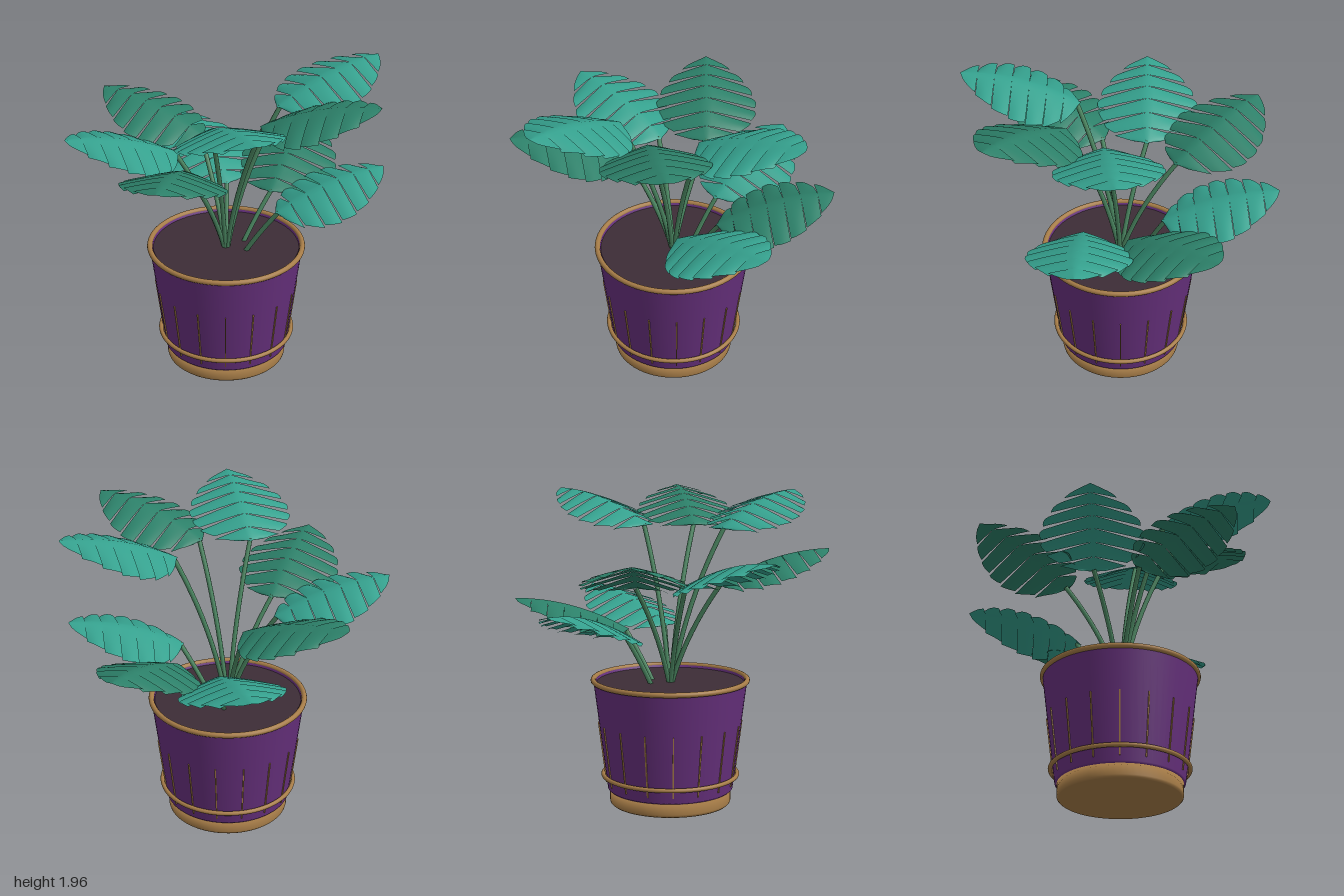
import * as THREE from 'three';

const mat = (color, side = THREE.FrontSide) =>
  new THREE.MeshStandardMaterial({ color, side });

const purple = mat(0x66307c, THREE.DoubleSide);
const tan = mat(0xa67c47);
const soilMat = mat(0x3d2d36);
const stemMat = mat(0x4a8560);
const brightLeaf = mat(0x35a18e, THREE.DoubleSide);
const deepLeaf = mat(0x2c8069, THREE.DoubleSide);

const LENGTH = 0.73, RISE = 0.21, LOBES = 7;

function add(parent, name, geometry, material) {
  const mesh = new THREE.Mesh(geometry, material);
  mesh.name = name;
  parent.add(mesh);
  return mesh;
}

// Pleated leaf along +x: a rising midrib, drooping sides and lobes that step like shingles.
function leafGeometry() {
  const rows = 6, cols = 16;
  const pos = [], index = [];
  for (let lobe = 0; lobe < LOBES; lobe++) {
    const start = pos.length / 3;
    for (let i = 0; i <= rows; i++) {
      const p = i / rows;
      const t = (lobe + p) / LOBES;
      const half = 0.325 * Math.pow(Math.max(0, Math.sin(Math.PI * Math.pow(t, 0.85))), 0.7)
        * (0.93 + 0.07 * Math.sin(Math.PI * (0.15 + 0.75 * p)));
      const rib = RISE * (1 - (1 - t) ** 2);
      for (let j = 0; j <= cols; j++) {
        const s = (j / cols) * 2 - 1, a = Math.abs(s);
        const pleat = a * (0.022 * (0.5 - p) + 0.012 * Math.sin(Math.PI * p)) * Math.min(1, half * 6);
        const droop = 0.31 * half * Math.pow(a, 1.15);
        pos.push(LENGTH * t + 0.02 * a * a * (1 - t), rib - droop + pleat, s * half);
      }
    }
    for (let i = 0; i < rows; i++) {
      for (let j = 0; j < cols; j++) {
        const a = start + i * (cols + 1) + j, b = a + cols + 1;
        index.push(a, a + 1, b, b, a + 1, b + 1);
      }
    }
  }
  const geo = new THREE.BufferGeometry();
  geo.setAttribute('position', new THREE.Float32BufferAttribute(pos, 3));
  geo.setIndex(index);
  geo.computeVertexNormals();
  return geo;
}

function buildPot() {
  const pot = new THREE.Group();
  pot.name = 'pot';
  pot.position.set(-0.018, 0, -0.008);

  // Footed base with softened edge
  const base = [[0, 0], [0.375, 0], [0.384, 0.008], [0.387, 0.02], [0.387, 0.095], [0, 0.095]];
  add(pot, 'base', new THREE.LatheGeometry(base.map(p => new THREE.Vector2(...p)), 64), tan);

  // Tapered wall, folded inward at the top
  const wall = [[0, 0.09], [0.39, 0.09], [0.4, 0.1], [0.487, 0.79], [0.487, 0.8], [0.468, 0.8], [0.462, 0.75]];
  add(pot, 'wall', new THREE.LatheGeometry(wall.map(p => new THREE.Vector2(...p)), 64), purple);

  // Rim and lower band
  for (const [name, r, tube, y] of [['rim', 0.488, 0.017, 0.8], ['lowerBand', 0.428, 0.014, 0.188]]) {
    const ring = add(pot, name, new THREE.TorusGeometry(r, tube, 12, 72), tan);
    ring.rotation.x = Math.PI / 2;
    ring.position.y = y;
  }

  // Soil
  add(pot, 'soil', new THREE.CylinderGeometry(0.472, 0.465, 0.04, 64), soilMat).position.y = 0.765;

  // Thin ribs following the taper
  const ribGeo = new THREE.BoxGeometry(0.008, 0.4, 0.012);
  ribGeo.rotateX(Math.atan(0.126));
  ribGeo.translate(0, 0.33, 0.43);
  for (let i = 0; i < 16; i++) {
    add(pot, 'rib', ribGeo, tan).rotation.y = (i * Math.PI) / 8;
  }
  return pot;
}

// Stem that starts upright and leans out to the leaf
function buildStem(root, end, lean) {
  const mid = new THREE.Vector3(
    THREE.MathUtils.lerp(root.x, end.x, lean),
    THREE.MathUtils.lerp(root.y, end.y, 0.52),
    THREE.MathUtils.lerp(root.z, end.z, lean));
  const curve = new THREE.QuadraticBezierCurve3(root, mid, end);
  return new THREE.TubeGeometry(curve, 12, 0.015, 8);
}

export function createModel() {
  const model = new THREE.Group();
  model.name = 'pottedPlant';
  model.add(buildPot());

  // Leaf tiers: base height, then [base x, base z, tip x, tip z, material]
  const tiers = [
    { y: 1.09, root: 0.13, lean: 0.45, leaves: [
      [0.18, -0.26, 0.16, -1.0, deepLeaf],
      [-0.11, -0.27, -0.65, -0.76, brightLeaf],
      [0.31, -0.01, 0.85, -0.5, brightLeaf]] },
    { y: 1.42, root: 0.01, lean: 0.3, leaves: [
      [-0.26, -0.23, -0.99, -0.27, deepLeaf],
      [-0.31, 0.05, -0.84, 0.57, brightLeaf],
      [-0.16, 0.27, -0.02, 1.0, deepLeaf]] },
    { y: 1.75, root: 0.01, lean: 0.25, leaves: [
      [0.01, 0.31, 0.53, 0.84, brightLeaf],
      [0.27, 0.16, 0.98, 0.08, deepLeaf],
      [0.26, -0.14, 0.72, -0.71, brightLeaf]] },
  ];

  const geo = leafGeometry();
  for (const { y, root, lean, leaves } of tiers) {
    for (const [bx, bz, tx, tz, material] of leaves) {
      const angle = Math.atan2(bz, bx);
      const start = new THREE.Vector3(-0.018 + root * Math.cos(angle), 0.77, -0.008 + root * Math.sin(angle));
      const dir = new THREE.Vector2(tx - bx, tz - bz).normalize();
      const end = new THREE.Vector3(bx + dir.x * 0.03, y + 0.005, bz + dir.y * 0.03);
      add(model, 'stem', buildStem(start, end, lean), stemMat);

      const leaf = add(model, 'leaf', geo, material);
      leaf.position.set(bx, y, bz);
      leaf.rotation.y = -Math.atan2(dir.y, dir.x);
    }
  }
  return model;
}
